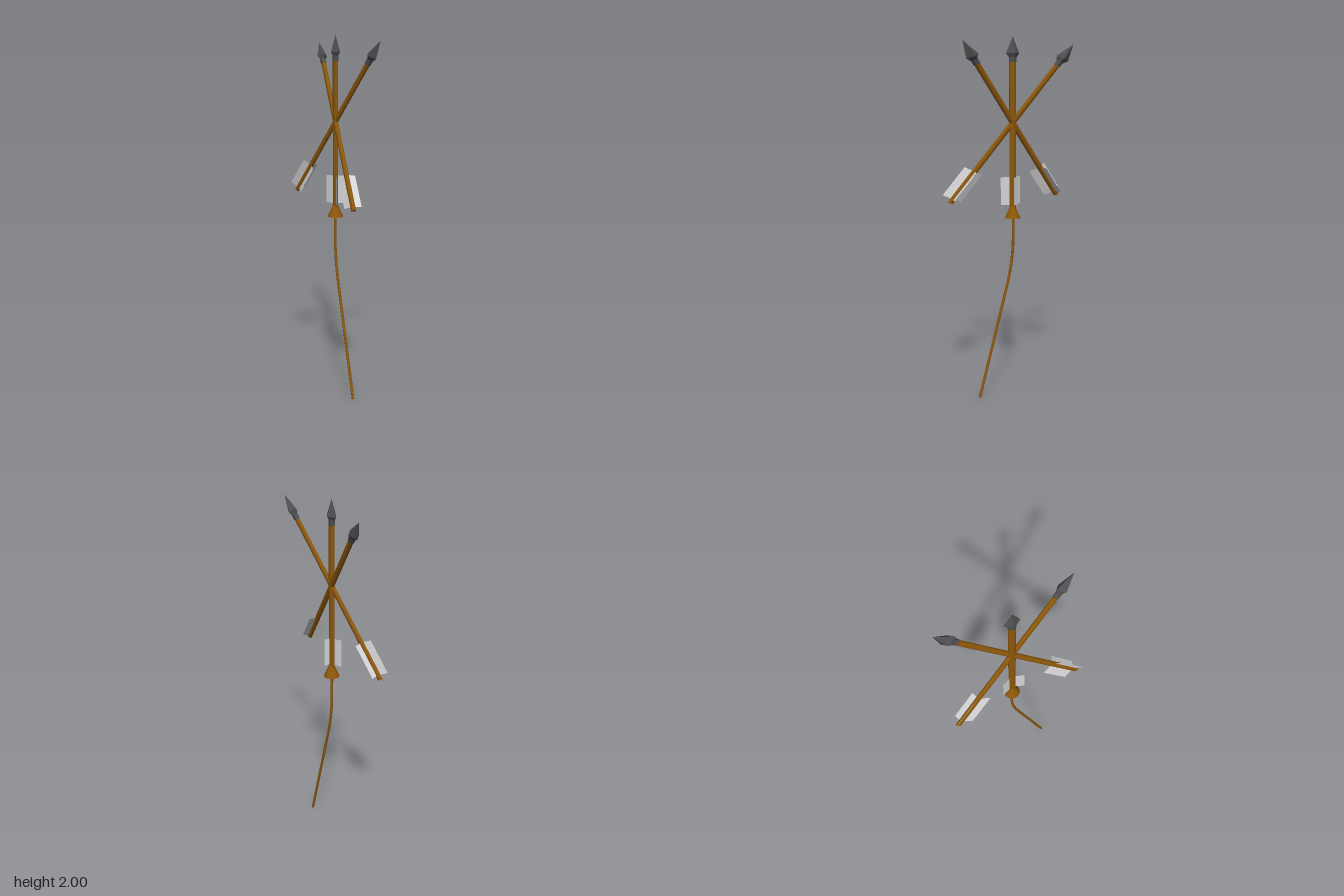
import * as THREE from 'three';

const wood = new THREE.MeshStandardMaterial({ name: 'brown wood', color: 0x8e580b });
const iron = new THREE.MeshStandardMaterial({ name: 'dark iron', color: 0x4f4f51, flatShading: true });
const feather = new THREE.MeshStandardMaterial({ name: 'pale feather', color: 0xd6d6d6, side: THREE.DoubleSide });

function add(parent, name, geometry, material, y = 0) {
  const mesh = new THREE.Mesh(geometry, material);
  mesh.name = name;
  mesh.position.y = y;
  parent.add(mesh);
  return mesh;
}

// One arrow centred on its own middle, pointing along +y
function makeArrow(name, length, radius, vaneLength) {
  const arrow = new THREE.Group();
  arrow.name = name;
  const tip = length / 2;
  const tail = -tip;
  const shaftLength = length - 0.13;
  add(arrow, 'shaft', new THREE.CylinderGeometry(radius, radius, shaftLength, 12), wood, tail + shaftLength / 2);
  // four-sided head: long point, short underside, collar
  add(arrow, 'headPoint', new THREE.CylinderGeometry(0, 0.03, 0.09, 4, 1, true), iron, tip - 0.045);
  add(arrow, 'headBase', new THREE.CylinderGeometry(0.03, 0.014, 0.028, 4), iron, tip - 0.104);
  add(arrow, 'headCollar', new THREE.CylinderGeometry(0.0155, 0.0155, 0.03, 10), iron, tip - 0.122);
  // three feather vanes around the tail
  for (let i = 0; i < 3; i++) {
    const vane = new THREE.PlaneGeometry(0.051, vaneLength).translate(0.0255, 0, 0);
    add(arrow, 'vane', vane, feather, tail + 0.022 + vaneLength / 2).rotation.y = (i * Math.PI * 2) / 3;
  }
  return arrow;
}

export function createModel() {
  const model = new THREE.Group();
  model.name = 'arrowStake';
  const axisX = 0.008;

  // Arrows share a flattened cross-section, so each sits in a scaled holder
  // name, length, shaft radius, vane length, height, tilt x, tilt z, roll
  const arrows = [
    ['uprightArrow', 0.94, 0.0145, 0.155, 1.53, 0, 0, 0],
    ['backLeaningArrow', 1.0, 0.0128, 0.172, 1.537, -0.515, -0.19, -0.22],
    ['frontLeaningArrow', 1.0, 0.0128, 0.172, 1.537, 0.515, -0.19, 0.22],
  ];
  for (const [name, length, radius, vaneLength, y, tiltX, tiltZ, roll] of arrows) {
    const holder = new THREE.Group();
    holder.name = name + 'Holder';
    holder.position.set(axisX, y, 0);
    holder.scale.set(0.9, 1, 1.45);
    const arrow = makeArrow(name, length, radius, vaneLength);
    arrow.rotation.set(tiltX, 0, tiltZ, 'ZYX');
    arrow.rotateY(roll);
    holder.add(arrow);
    model.add(holder);
  }

  // Cone joining the upright arrow to the rod
  add(model, 'cone', new THREE.CylinderGeometry(0.01, 0.044, 0.075, 24), wood, 1.0455).position.x = axisX;

  // Rod: straight at the top, then bending forward to the ground
  const path = new THREE.CurvePath();
  const p = (y, z) => new THREE.Vector3(axisX, y, z);
  path.add(new THREE.LineCurve3(p(1.03, -0.003), p(0.88, -0.003)));
  path.add(new THREE.QuadraticBezierCurve3(p(0.88, -0.003), p(0.76, -0.001), p(0.62, 0.04)));
  path.add(new THREE.LineCurve3(p(0.62, 0.04), p(0.002, 0.222)));
  add(model, 'rod', new THREE.TubeGeometry(path, 40, 0.0075, 10), wood);
  const rodEnd = new THREE.CircleGeometry(0.0075, 10).rotateX(Math.PI / 2 - 0.286);
  add(model, 'rodEnd', rodEnd, wood).position.set(axisX, 0.002, 0.222);

  return model;
}
